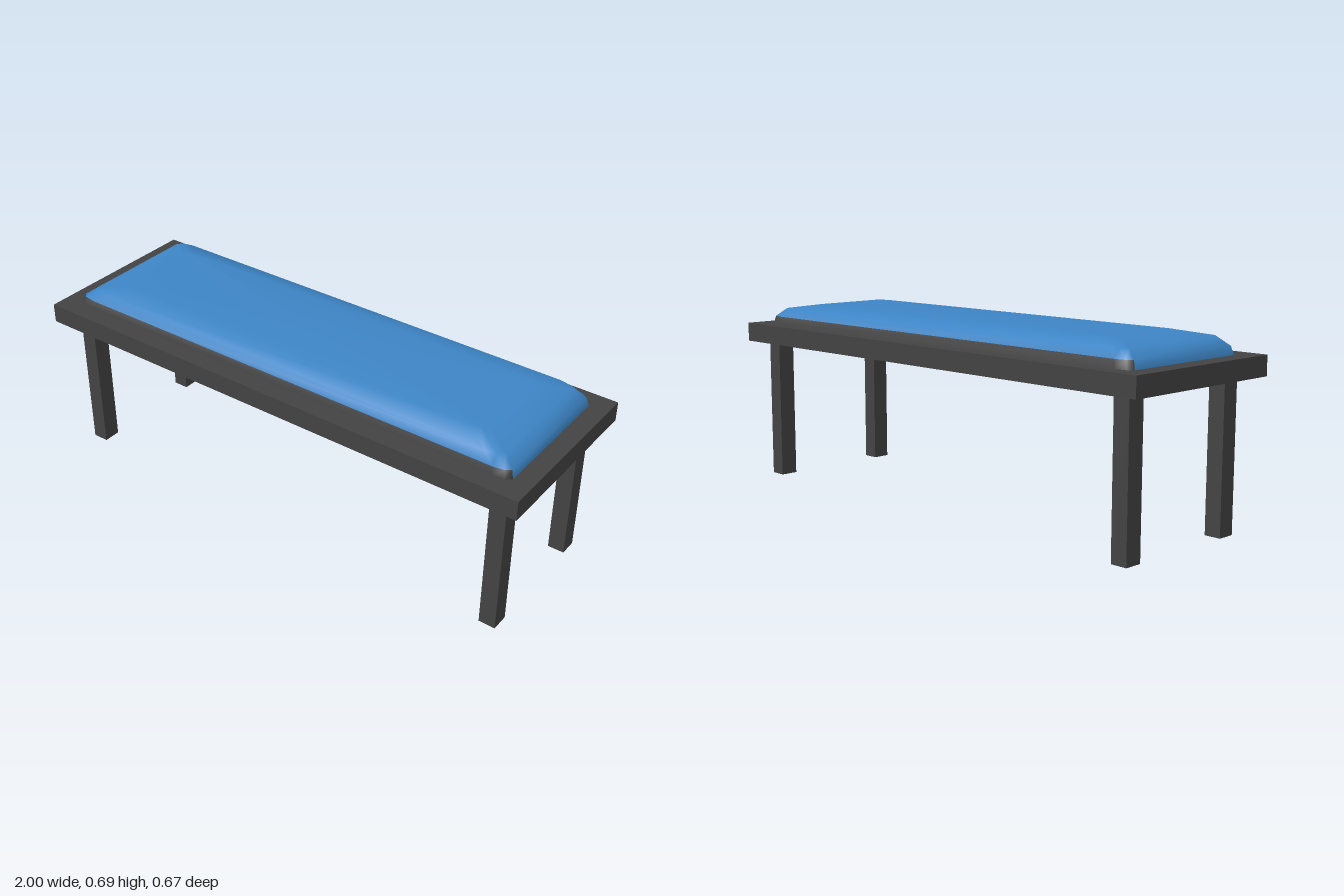
import * as THREE from 'three';

const frameMat = new THREE.MeshStandardMaterial({ color: 0x434343 });
frameMat.name = 'dark grey frame';
const cushionMat = new THREE.MeshStandardMaterial({ color: 0x3d85c6 });
cushionMat.name = 'blue upholstery';

function box(name, w, h, d, x, y, z) {
  const mesh = new THREE.Mesh(new THREE.BoxGeometry(w, h, d), frameMat);
  mesh.name = name;
  mesh.position.set(x, y, z);
  return mesh;
}

// Rounded rectangle, going from +x towards +z; cx and cz are the corner cut sizes
function ring([y, hx, hz, cx, cz]) {
  const corner = [[hx, hz - cz], [hx - 0.3 * cx, hz - 0.3 * cz], [hx - cx, hz]];
  const points = [];
  for (const [sx, sz] of [[1, 1], [-1, 1], [-1, -1], [1, -1]]) {
    const ordered = sx * sz > 0 ? corner : [...corner].reverse();
    for (const [x, z] of ordered) points.push(sx * x, y, sz * z);
  }
  return points;
}

// Padded seat lofted through rings, with a dark lower edge along its long sides
function makeCushion() {
  const levels = [
    [0.611, 0.93, 0.275, 0.06, 0.022],
    [0.641, 0.922, 0.269, 0.06, 0.022],
    [0.672, 0.88, 0.25, 0.06, 0.03],
    [0.689, 0.77, 0.172, 0.05, 0.03],
  ];
  const n = 12;
  const positions = levels.flatMap(ring);
  const blue = [], dark = [];
  for (let k = 0; k < levels.length - 1; k++) {
    for (let j = 0; j < n; j++) {
      const a = k * n + j, b = k * n + (j + 1) % n;
      const target = k === 0 && j % 6 !== 5 ? dark : blue;
      target.push(a, a + n, b, b, a + n, b + n);
    }
  }
  // Flat top panel
  const top = (levels.length - 1) * n;
  positions.push(0, 0.689, 0);
  for (let j = 0; j < n; j++) blue.push(top + j, top + n, top + (j + 1) % n);

  const geometry = new THREE.BufferGeometry();
  geometry.setAttribute('position', new THREE.Float32BufferAttribute(positions, 3));
  geometry.setIndex([...blue, ...dark]);
  geometry.addGroup(0, blue.length, 0);
  geometry.addGroup(blue.length, dark.length, 1);
  geometry.computeVertexNormals();
  const mesh = new THREE.Mesh(geometry, [cushionMat, frameMat]);
  mesh.name = 'cushion';
  mesh.position.z = -0.006;
  return mesh;
}

export function createModel() {
  const bench = new THREE.Group();
  bench.name = 'bench';
  bench.add(box('seatBoard', 2, 0.072, 0.672, 0, 0.575, 0));
  for (const [side, x] of [['Left', 0.9], ['Right', -0.9]]) {
    bench.add(box('front' + side + 'Leg', 0.062, 0.54, 0.067, x, 0.27, 0.235));
    bench.add(box('back' + side + 'Leg', 0.062, 0.54, 0.067, x, 0.27, -0.248));
  }
  bench.add(makeCushion());
  return bench;
}
